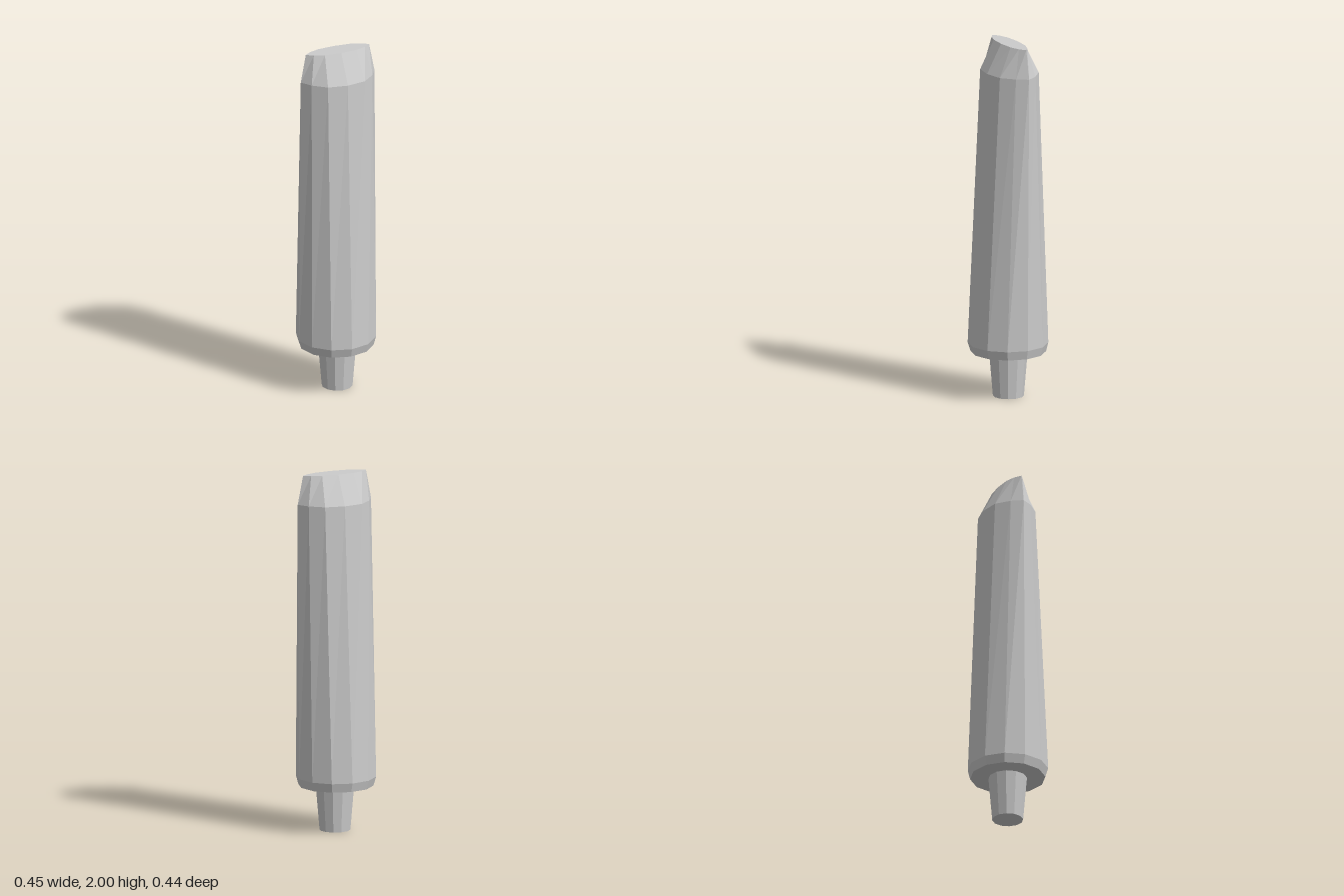
import * as THREE from 'three';

const SIDES = 12;

// Twelve-sided ring; `lens` scales the corners between the axes to pinch it into a lens.
function ring(y, rx, rz, cx = 0, cz = 0, lens = [1, 1]) {
  return Array.from({ length: SIDES }, (_, i) => {
    const a = (i / SIDES) * Math.PI * 2;
    const side = i % 6 === 2 || i % 6 === 4; // corners next to the left and right tips
    const [kx, kz] = side ? lens : [1, 1];
    return [cx + Math.sin(a) * rx * kx, y, cz + Math.cos(a) * rz * kz];
  });
}

// Joins rings from bottom to top and closes both ends.
function loft(rings) {
  const positions = rings.flat(2);
  const index = [];
  for (let r = 0; r < rings.length - 1; r++) {
    for (let i = 0; i < SIDES; i++) {
      const j = (i + 1) % SIDES;
      const a = r * SIDES + i, b = r * SIDES + j;
      index.push(a, b, b + SIDES, a, b + SIDES, a + SIDES);
    }
  }
  const top = (rings.length - 1) * SIDES;
  for (let i = 1; i < SIDES - 1; i++) {
    index.push(0, i + 1, i);
    index.push(top, top + i, top + i + 1);
  }
  const geometry = new THREE.BufferGeometry();
  geometry.setAttribute('position', new THREE.Float32BufferAttribute(positions, 3));
  geometry.setIndex(index);
  const flat = geometry.toNonIndexed();
  flat.computeVertexNormals();
  return flat;
}

export function createModel() {
  const group = new THREE.Group();
  group.name = 'taperedHandle';
  const material = new THREE.MeshStandardMaterial({ color: 0xcccccc, flatShading: true });

  // Body: round with a bevel at the base, flattening to a narrow lens at the top
  const body = new THREE.Mesh(loft([
    ring(0.25, 0.207, 0.207, -0.005, -0.002),
    ring(0.3, 0.221, 0.221, -0.006, -0.001),
    ring(1.84, 0.22, 0.141, 0.005, -0.004, [0.95, 0.86]),
    ring(2, 0.189, 0.0525, 0.004, -0.004, [0.93, 1]),
  ]), material);
  body.name = 'body';

  // Stem: short tapered peg below the body
  const stem = new THREE.Mesh(loft([
    ring(0, 0.085, 0.085),
    ring(0.25, 0.106, 0.106),
  ]), material);
  stem.name = 'stem';

  group.add(body, stem);
  return group;
}
